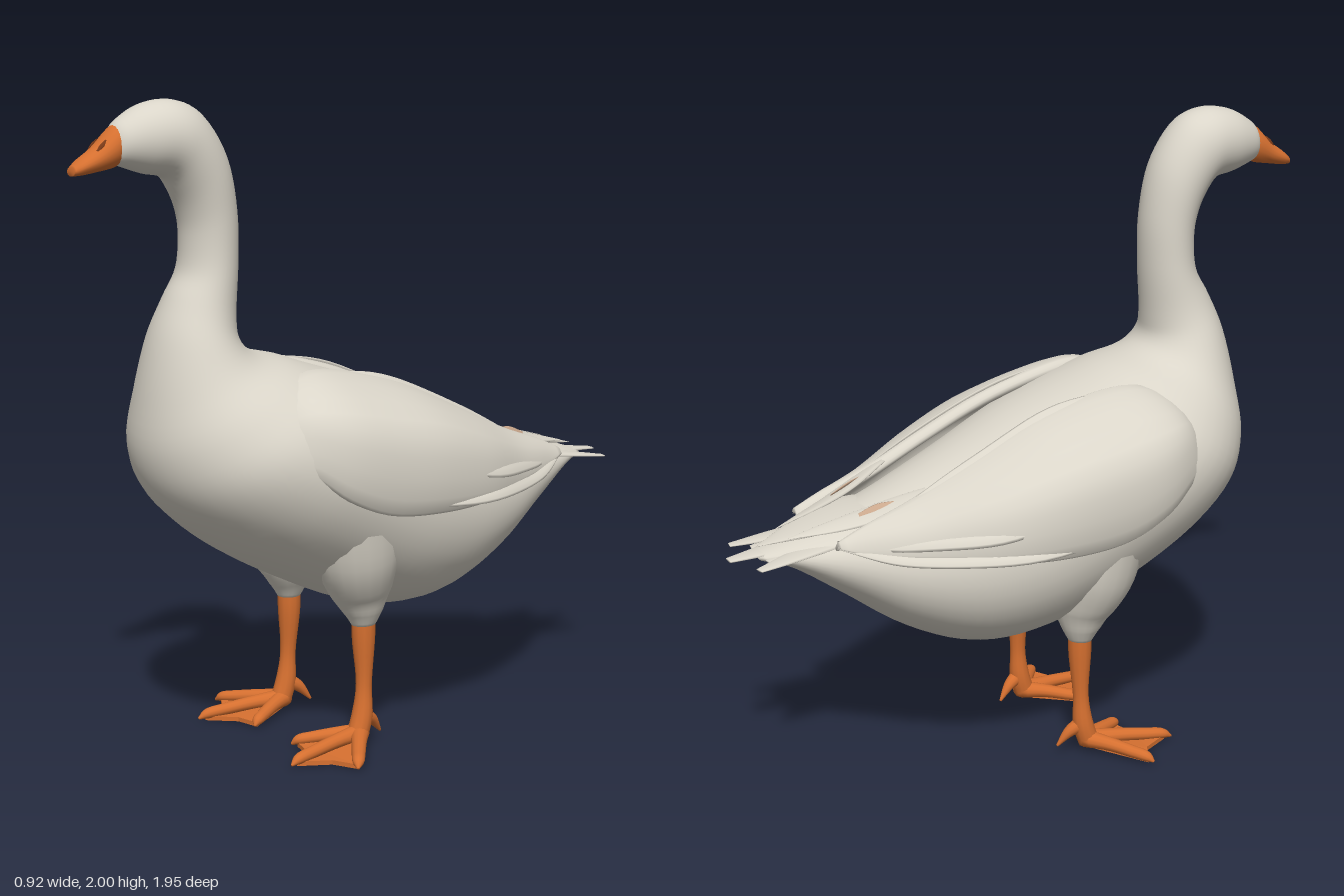
import * as THREE from 'three';

const V = (x, y, z) => new THREE.Vector3(x, y, z);

// Closed skin over a list of equal-sized rings, capped at both ends and always facing outward
function loft(rings) {
  const n = rings[0].length, pts = rings.flat(), idx = [];
  for (let i = 0; i < rings.length - 1; i++)
    for (let j = 0; j < n; j++) {
      const a = i * n + j, b = i * n + (j + 1) % n;
      idx.push(a, b, a + n, b, b + n, a + n);
    }
  [0, rings.length - 1].forEach((r, end) => {
    const c = pts.length;
    pts.push(rings[r].reduce((s, p) => s.add(p), V(0, 0, 0)).divideScalar(n));
    for (let j = 0; j < n; j++) {
      const a = r * n + j, b = r * n + (j + 1) % n;
      if (end) idx.push(a, b, c); else idx.push(b, a, c);
    }
  });
  let volume = 0;
  for (let i = 0; i < idx.length; i += 3)
    volume += pts[idx[i]].dot(pts[idx[i + 1]].clone().cross(pts[idx[i + 2]]));
  if (volume < 0) idx.reverse();
  const g = new THREE.BufferGeometry().setFromPoints(pts);
  g.setIndex(idx);
  g.computeVertexNormals();
  return g;
}

// Sections given as [upperZ, upperY, lowerZ, lowerY, halfWidth], smoothed along the length
function profileLoft(rows, steps, sides) {
  const curve = f => new THREE.CatmullRomCurve3(rows.map(f), false, 'catmullrom', 0.5);
  const up = curve(r => V(r[4], r[1], r[0])), low = curve(r => V(r[4], r[3], r[2]));
  const rings = [];
  for (let i = 0; i <= steps; i++) {
    const a = up.getPoint(i / steps), b = low.getPoint(i / steps), w = a.x;
    rings.push(Array.from({ length: sides }, (_, j) => {
      const t = j / sides * Math.PI * 2, k = (1 + Math.cos(t)) / 2;
      return V(Math.sin(t) * w, b.y + (a.y - b.y) * k, b.z + (a.z - b.z) * k);
    }));
  }
  return loft(rings);
}

// Limb or feather: path of points, half-widths along it, flatness and the direction it faces
function limb(path, widths, flat = 1, normal = V(0, 0, 1), steps = 14, sides = 12) {
  const c = new THREE.CatmullRomCurve3(path);
  const wc = new THREE.CatmullRomCurve3(widths.map(w => V(w, 0, 0)), false, 'catmullrom', 0.5);
  const rings = [];
  for (let i = 0; i <= steps; i++) {
    const p = c.getPoint(i / steps), d = c.getTangent(i / steps);
    const side = d.clone().cross(normal).normalize(), up = side.clone().cross(d).normalize();
    const w = Math.max(wc.getPoint(i / steps).x, 0.002);
    rings.push(Array.from({ length: sides }, (_, j) => {
      const t = j / sides * Math.PI * 2;
      return p.clone().addScaledVector(side, Math.cos(t) * w)
        .addScaledVector(up, Math.sin(t) * w * flat);
    }));
  }
  return loft(rings);
}

export function createModel() {
  const goose = new THREE.Group();
  goose.name = 'goose';
  const mat = (name, color) => {
    const m = new THREE.MeshStandardMaterial({ color });
    m.name = name;
    return m;
  };
  const plumage = mat('white plumage', 0xdad5c9), orange = mat('orange skin', 0xd67030);
  const dark = mat('dark nostril', 0x7a3a18), tan = mat('tan feather', 0xc9a78c);
  const add = (name, geometry, material, parent = goose) => {
    const m = new THREE.Mesh(geometry, material);
    m.name = name;
    parent.add(m);
  };

  // Head, neck and body in one smooth skin
  add('body', profileLoft([
    [0.85, 1.92, 0.86, 1.83, 0.03], [0.82, 1.95, 0.825, 1.815, 0.065],
    [0.745, 1.99, 0.75, 1.79, 0.097], [0.65, 2.0, 0.68, 1.775, 0.112],
    [0.56, 1.96, 0.645, 1.73, 0.112], [0.48, 1.84, 0.62, 1.67, 0.108],
    [0.445, 1.68, 0.61, 1.6, 0.103], [0.443, 1.52, 0.62, 1.5, 0.106],
    [0.455, 1.36, 0.665, 1.42, 0.124], [0.45, 1.29, 0.715, 1.3, 0.16],
    [0.40, 1.25, 0.75, 1.12, 0.218], [0.30, 1.225, 0.757, 0.95, 0.305],
    [0.20, 1.19, 0.69, 0.80, 0.378], [0.08, 1.15, 0.52, 0.65, 0.405],
    [-0.05, 1.10, 0.28, 0.515, 0.395], [-0.20, 1.03, 0.03, 0.41, 0.365],
    [-0.35, 0.965, -0.20, 0.395, 0.315], [-0.50, 0.905, -0.42, 0.48, 0.25],
    [-0.65, 0.86, -0.62, 0.62, 0.175], [-0.80, 0.82, -0.78, 0.73, 0.10],
    [-0.90, 0.79, -0.88, 0.77, 0.04],
  ], 100, 40), plumage);

  // Beak
  add('beak', profileLoft([
    [0.80, 1.935, 0.82, 1.825, 0.04], [0.84, 1.932, 0.845, 1.81, 0.052],
    [0.90, 1.875, 0.90, 1.80, 0.045], [0.95, 1.84, 0.95, 1.793, 0.037],
    [0.975, 1.82, 0.977, 1.792, 0.022],
  ], 24, 20), orange);

  // Tail fan and the pointed coverts above it
  const up = V(0, 1, 0);
  for (const [x, z, w] of [[-0.122, -0.925, 0.042], [-0.07, -0.875, 0.045], [0, -0.975, 0.052],
    [0.07, -0.875, 0.045], [0.122, -0.925, 0.042]])
    add('tailFeather', limb([V(x * 0.55, 0.82, -0.55), V(x * 0.7, 0.805, -0.72), V(x, 0.78, z)],
      [w, w * 1.15, w, w * 0.4], 0.18, up), plumage);
  add('tailCoverts', limb([V(0, 0.885, -0.42), V(0, 0.865, -0.62), V(0, 0.81, -0.88)],
    [0.05, 0.12, 0.095, 0.006], 0.13, up), plumage);

  for (const s of [1, -1]) {
    const P = a => V(a[0] * s, a[1], a[2]);
    const side = new THREE.Group();
    side.name = s > 0 ? 'leftSide' : 'rightSide';
    goose.add(side);

    add('nostril', limb([[0.026, 1.892, 0.876], [0.029, 1.876, 0.89], [0.028, 1.862, 0.905]].map(P),
      [0.003, 0.007, 0.003], 0.5, V(s, 0.5, 0.3)), dark, side);

    // Folded wing: sections hold z, then top, outer and bottom points
    const sections = [
      [0.50, 0.22, 1.07, 0.28, 1.03, 0.32, 0.95], [0.41, 0.20, 1.155, 0.36, 1.08, 0.385, 0.92],
      [0.30, 0.185, 1.195, 0.415, 1.07, 0.42, 0.84], [0.15, 0.17, 1.18, 0.432, 1.04, 0.43, 0.78],
      [-0.05, 0.165, 1.125, 0.424, 1.0, 0.43, 0.765], [-0.25, 0.17, 1.035, 0.375, 0.94, 0.395, 0.77],
      [-0.45, 0.17, 0.94, 0.28, 0.88, 0.305, 0.785], [-0.60, 0.17, 0.885, 0.215, 0.85, 0.23, 0.80],
      [-0.69, 0.168, 0.845, 0.18, 0.84, 0.19, 0.825],
    ];
    const rails = [1, 3, 5].map(k =>
      new THREE.CatmullRomCurve3(sections.map(r => P([r[k], r[k + 1], r[0]])), false, 'catmullrom', 0.5));
    const rings = [];
    for (let i = 0; i <= 36; i++) {
      const [a, b, c] = rails.map(r => r.getPoint(i / 36));
      const inner = [c, b, a].map(p => V(p.x * 0.84, p.y - (p === c ? -0.02 : 0.03), p.z));
      rings.push(new THREE.CatmullRomCurve3([a, b, c, ...inner], true).getPoints(28).slice(0, 28));
    }
    add('wing', loft(rings), plumage, side);

    // Layered flight feathers and scapulars lying over the wing
    const feathers = [
      [0.04, [[0.425, 0.81, 0.12], [0.395, 0.80, -0.22], [0.27, 0.797, -0.50], [0.18, 0.825, -0.69]]],
      [0.05, [[0.42, 0.91, -0.03], [0.36, 0.87, -0.28], [0.245, 0.845, -0.50], [0.17, 0.835, -0.66]]],
      [0.055, [[0.39, 1.0, -0.03], [0.33, 0.95, -0.25], [0.23, 0.89, -0.45], [0.165, 0.86, -0.60]]],
      [0.04, [[0.19, 1.18, 0.24], [0.195, 1.12, 0.0], [0.20, 1.015, -0.25], [0.175, 0.89, -0.53]]],
    ];
    for (const [w, path] of feathers)
      add('wingFeather', limb(path.map(P), [w * 0.3, w, w, w * 0.8, 0.004], 0.25, V(s * 0.7, 0.75, 0), 20),
        plumage, side);
    // Wing tip crossing above the tail, with a tan patch on its edge
    add('wingTip', limb([[0.17, 0.95, -0.4], [0.11, 0.885, -0.58], [0.05, 0.835, -0.8]].map(P),
      [0.03, 0.045, 0.035, 0.004], 0.2, V(s * 0.3, 1, 0)), plumage, side);
    add('tanPatch', limb([[0.135, 0.922, -0.485], [0.12, 0.906, -0.54], [0.105, 0.89, -0.595]].map(P),
      [0.008, 0.018, 0.008], 0.25, V(s * 0.7, 0.7, 0)), tan, side);

    // Thigh and shank
    add('thigh', limb([[0.235, 0.80, 0.17], [0.22, 0.62, 0.145], [0.205, 0.50, 0.12], [0.207, 0.435, 0.112],
      [0.208, 0.39, 0.11]].map(P), [0.15, 0.135, 0.098, 0.064, 0.038], 1, V(0, 0, 1), 20, 20), plumage, side);
    add('shank', limb([[0.208, 0.43, 0.11], [0.208, 0.34, 0.11], [0.213, 0.2, 0.112], [0.215, 0.1, 0.12],
      [0.217, 0.035, 0.14]].map(P), [0.038, 0.036, 0.025, 0.033, 0.034], 1, V(0, 0, 1), 18), orange, side);

    // Webbed foot: three front toes, one hind toe and the web
    const tips = [[0.105, 0.012, 0.31], [0.27, 0.012, 0.418], [0.408, 0.012, 0.27]];
    for (const t of tips) {
      const mid = (k, y) => [0.215 + (t[0] - 0.215) * k, y, 0.13 + (t[2] - 0.13) * k];
      add('toe', limb([mid(0, 0.045), mid(0.35, 0.042), mid(0.7, 0.032), mid(0.9, 0.025), t].map(P),
        [0.032, 0.024, 0.021, 0.018, 0.004], 0.9, up), orange, side);
    }
    add('hindToe', limb([[0.215, 0.10, 0.115], [0.205, 0.075, 0.075], [0.195, 0.03, 0.037]].map(P),
      [0.026, 0.018, 0.004], 1, up), orange, side);
    const outline = [[0.21, 0.11], [0.115, 0.295], [0.195, 0.315], [0.265, 0.395], [0.315, 0.30], [0.39, 0.26]];
    const web = new THREE.ExtrudeGeometry(new THREE.Shape(outline.map(p => new THREE.Vector2(p[0] * s, p[1]))),
      { depth: 0.014, bevelEnabled: false }).rotateX(Math.PI / 2);
    const pos = web.attributes.position;
    for (let i = 0; i < pos.count; i++) {
      const d = Math.hypot(pos.getX(i) - 0.21 * s, pos.getZ(i) - 0.11);
      pos.setY(i, pos.getY(i) + 0.018 + 0.02 * Math.max(0, 1 - d / 0.2));
    }
    web.computeVertexNormals();
    add('web', web, orange, side);
  }
  return goose;
}
